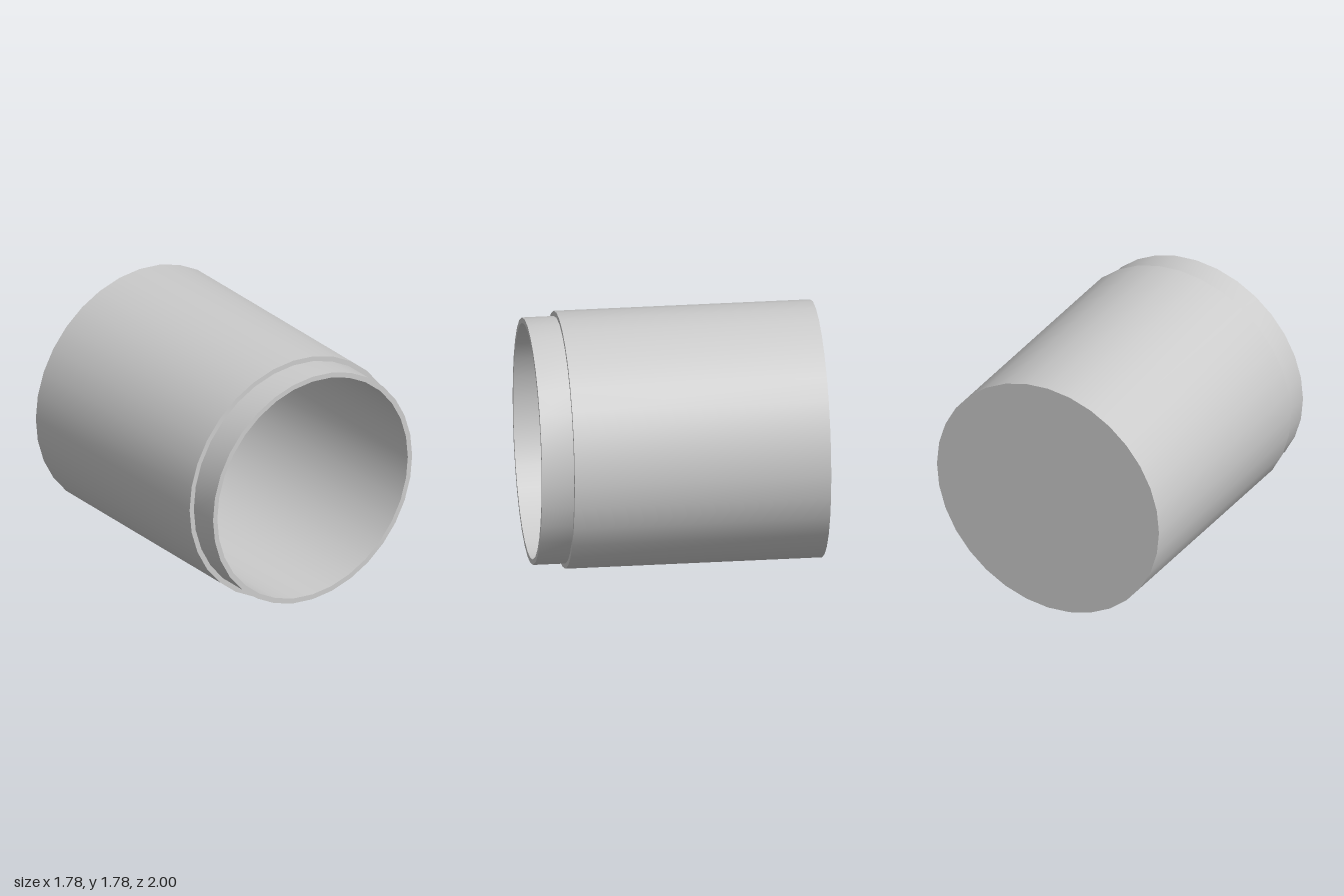
import * as THREE from 'three';
import { toCreasedNormals } from 'three/addons/utils/BufferGeometryUtils.js';

const SIDES = 32;
const R = 0.889;       // body radius
const NECK = 0.853;    // outer neck radius
const BORE = 0.816;    // inner radius
const SHOULDER = 0.778;
const FLOOR = -0.96;

export function createModel() {
  const model = new THREE.Group();
  model.name = 'openCanister';
  const material = new THREE.MeshStandardMaterial({ color: 0xcccccc });

  // Turns a [radius, z] profile around the z axis, keeping rims sharp.
  function turned(name, profile) {
    const points = profile.map(([r, z]) => new THREE.Vector2(r, z));
    const geometry = new THREE.LatheGeometry(points, SIDES).rotateX(Math.PI / 2);
    const mesh = new THREE.Mesh(toCreasedNormals(geometry, Math.PI / 5), material);
    mesh.name = name;
    mesh.position.y = R;
    model.add(mesh);
  }

  // Closed back, outer wall and the step at the shoulder
  turned('body', [[0, -1], [R, -1], [R, SHOULDER], [NECK, SHOULDER]]);
  // Narrower collar with its front rim
  turned('neck', [[NECK, SHOULDER], [NECK, 1], [BORE, 1]]);
  // Hollow inside, down to the floor
  turned('interior', [[BORE, 1], [BORE, FLOOR], [0, FLOOR]]);

  return model;
}
